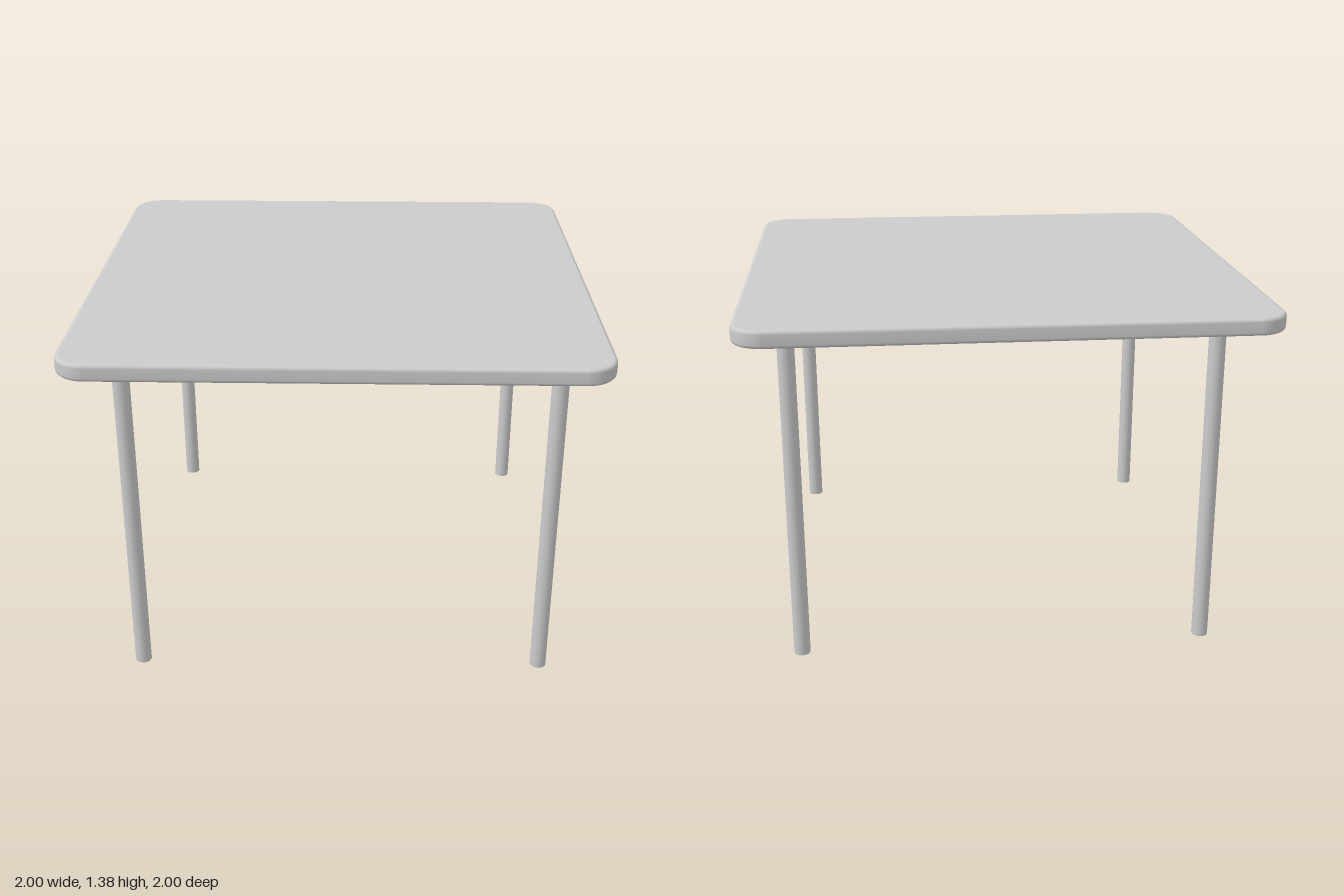
import * as THREE from 'three';
import { mergeVertices } from 'three/addons/utils/BufferGeometryUtils.js';

const HEIGHT = 1.38, THICK = 0.066, CORNER = 0.12, BEVEL = 0.014;

// Square outline with rounded corners
function roundedSquare(h, r) {
  const s = new THREE.Shape();
  s.absarc(h - r, h - r, r, 0, Math.PI / 2);
  s.absarc(-h + r, h - r, r, Math.PI / 2, Math.PI);
  s.absarc(-h + r, -h + r, r, Math.PI, Math.PI * 1.5);
  s.absarc(h - r, -h + r, r, Math.PI * 1.5, Math.PI * 2);
  s.closePath();
  return s;
}

export function createModel() {
  const table = new THREE.Group();
  table.name = 'table';
  const material = new THREE.MeshStandardMaterial({ color: 0xcccccc });

  // Thin top with a softened rim, shaded smoothly across the edge
  let topGeo = new THREE.ExtrudeGeometry(roundedSquare(1, CORNER), {
    depth: THICK - 2 * BEVEL, curveSegments: 10,
    bevelThickness: BEVEL, bevelSize: BEVEL, bevelOffset: -BEVEL, bevelSegments: 3,
  });
  topGeo.translate(0, 0, BEVEL).rotateX(-Math.PI / 2);
  topGeo.deleteAttribute('normal');
  topGeo.deleteAttribute('uv');
  topGeo = mergeVertices(topGeo, 1e-4);
  topGeo.computeVertexNormals();
  const top = new THREE.Mesh(topGeo, material);
  top.name = 'tableTop';
  top.position.y = HEIGHT - THICK;
  table.add(top);

  // Four round legs, set slightly off centre under the top
  const legHeight = HEIGHT - THICK + 0.005;
  const legGeo = new THREE.CylinderGeometry(0.032, 0.032, legHeight, 20);
  for (const [side, x] of [['Right', -0.783], ['Left', 0.817]]) {
    for (const [end, z] of [['front', 0.822], ['back', -0.778]]) {
      const leg = new THREE.Mesh(legGeo, material);
      leg.name = `${end}${side}Leg`;
      leg.position.set(x, legHeight / 2, z);
      table.add(leg);
    }
  }
  return table;
}
